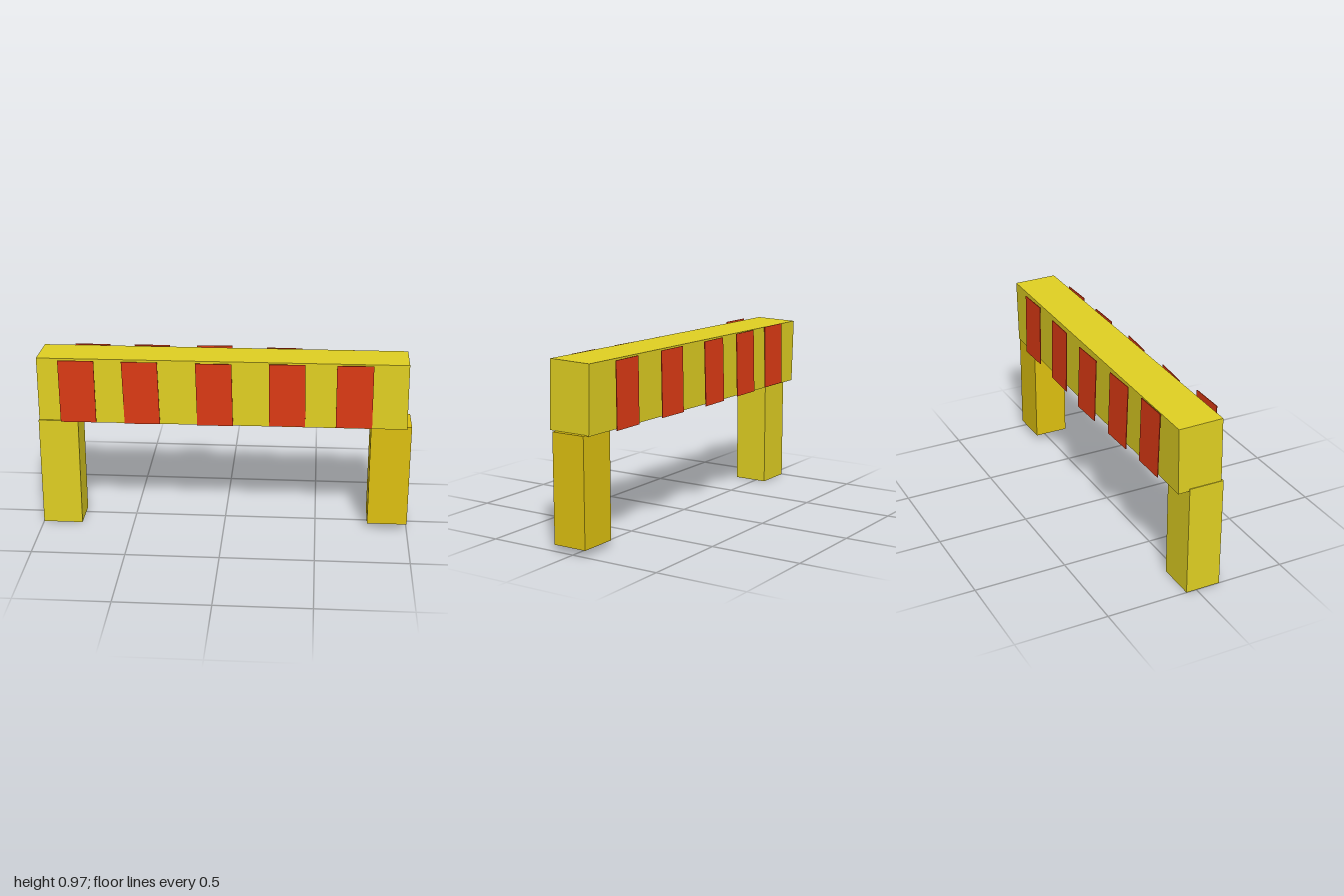
import * as THREE from 'three';

const YELLOW = 0xdfcf22, AMBER = 0xddc010, RED = 0xdd3a14;

function box(name, color, size, pos, rot = [0, 0, 0]) {
  const mesh = new THREE.Mesh(
    new THREE.BoxGeometry(...size),
    new THREE.MeshStandardMaterial({ color, flatShading: true })
  );
  mesh.name = name;
  mesh.position.set(...pos);
  mesh.rotation.set(...rot);
  return mesh;
}

export function createModel() {
  const group = new THREE.Group();
  group.name = 'barrier';

  // Slightly crooked crossbeam
  group.add(box('beam', YELLOW, [1.97, 0.357, 0.24], [-0.012, 0.779, 0.0115], [-0.021, -0.0132, 0.007]));

  // Legs: the left one sits a little higher and further back
  group.add(box('rightLeg', YELLOW, [0.214, 0.605, 0.19], [-0.893, 0.3025, 0.038]));
  group.add(box('leftLeg', AMBER, [0.216, 0.575, 0.19], [0.892, 0.3225, 0.018]));

  // Hand-placed warning stripes: x, y, z, tilt, turn, lean
  const front = [
    [-0.782, 0.780, 0.148, 0.022, 0, 0.008],
    [-0.443, 0.775, 0.137, 0.012, -0.05, 0.03],
    [-0.051, 0.778, 0.144, 0.018, -0.05, 0.025],
    [0.335, 0.784, 0.146, 0.018, 0, 0.015],
    [0.690, 0.787, 0.151, 0.02, 0.01, 0.008],
  ];
  const back = [
    [-0.732, 0.778, -0.136, 0.02, 0, 0.005],
    [-0.408, 0.778, -0.143, 0.028, 0.02, 0.005],
    [-0.068, 0.779, -0.151, 0.03, 0.02, 0.005],
    [0.312, 0.779, -0.134, 0.02, -0.02, 0.005],
    [0.692, 0.779, -0.121, 0.012, 0.01, 0.005],
  ];
  for (const [side, list] of [['front', front], ['back', back]]) {
    list.forEach(([x, y, z, ...rot], i) =>
      group.add(box(`${side}Stripe${i + 1}`, RED, [0.192, 0.35, 0.004], [x, y, z], rot)));
  }
  return group;
}
